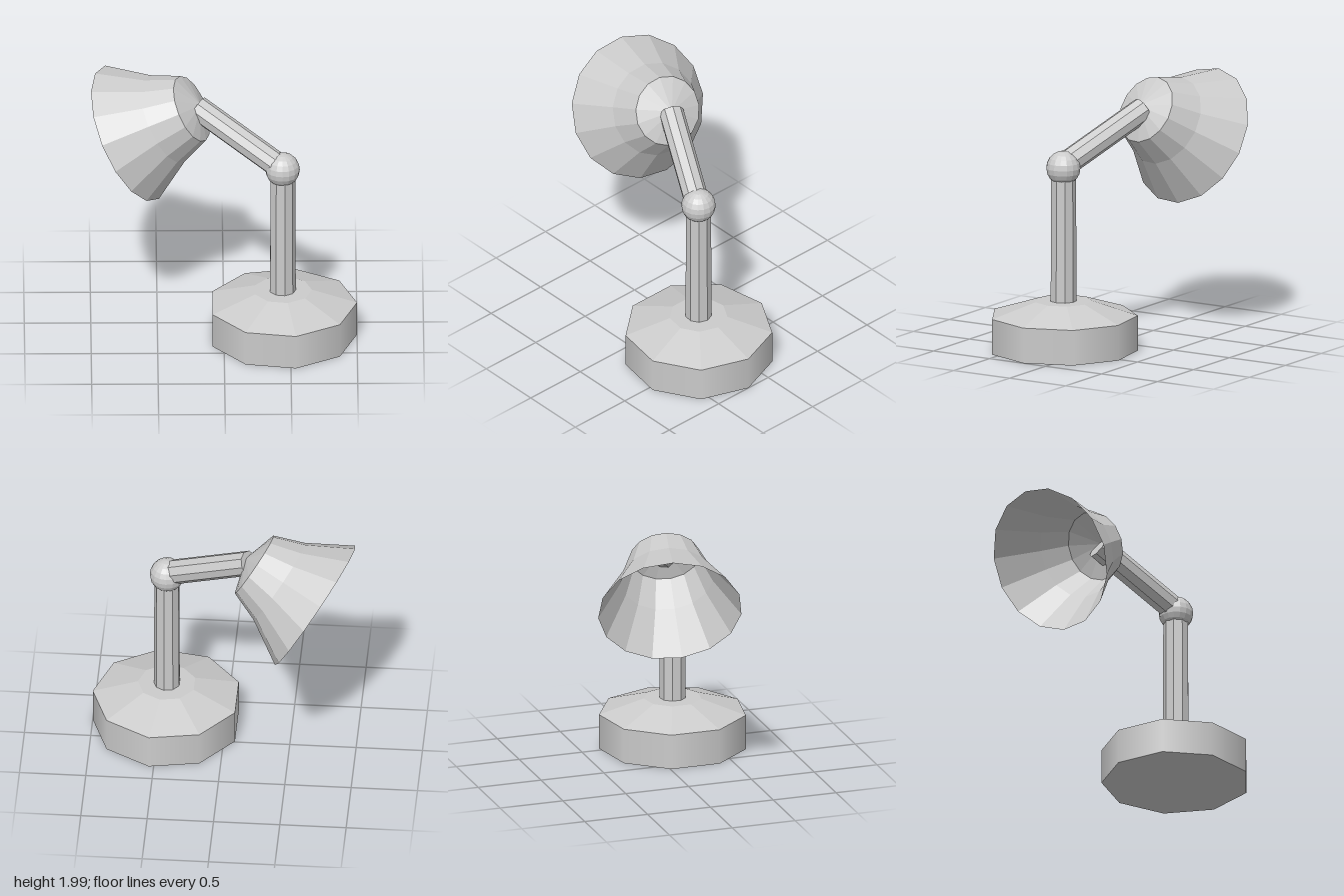
import * as THREE from 'three';

const flat = new THREE.MeshStandardMaterial({ color: 0xcccccc, flatShading: true });
const smooth = new THREE.MeshStandardMaterial({ color: 0xcccccc });
const thin = new THREE.MeshStandardMaterial({ color: 0xcccccc, flatShading: true, side: THREE.DoubleSide });

const CX = 0.44, CZ = 0.2; // axis of base and post
const SIDES = 9;

// Turn an object so its y axis follows `axis` and its z axis leans upward
function aim(object, axis) {
  const y = axis.clone().normalize();
  const z = new THREE.Vector3(0, 1, 0).addScaledVector(y, -y.y).normalize();
  const x = new THREE.Vector3().crossVectors(y, z);
  object.quaternion.setFromRotationMatrix(new THREE.Matrix4().makeBasis(x, y, z));
}

export function createModel() {
  const lamp = new THREE.Group();
  lamp.name = 'deskLamp';

  const add = (name, geometry, material, x, y, z, parent = lamp) => {
    const mesh = new THREE.Mesh(geometry, material);
    mesh.name = name;
    mesh.position.set(x, y, z);
    parent.add(mesh);
    return mesh;
  };
  // Nine-sided column with a corner toward +x
  const column = (top, bottom, height, open = false) =>
    new THREE.CylinderGeometry(top, bottom, height, SIDES, 1, open, Math.PI / 2);

  // Base: smooth wall, faceted sloping top, flat underside
  const base = new THREE.Group();
  base.name = 'base';
  lamp.add(base);
  add('baseWall', column(0.56, 0.56, 0.27, true), smooth, CX, 0.135, CZ, base);
  add('baseTop', column(0.22, 0.56, 0.11), flat, CX, 0.325, CZ, base);
  const underside = add('baseUnderside', new THREE.CircleGeometry(0.56, SIDES), flat, CX, 0, CZ, base);
  underside.rotation.x = Math.PI / 2;

  // Upright post and ball joint
  add('post', column(0.095, 0.1, 1.05), flat, CX, 0.875, CZ);
  add('ballJoint', new THREE.SphereGeometry(0.13, 16, 10), flat, CX, 1.4, CZ);

  // Slanted arm from the joint into the shade
  const start = new THREE.Vector3(CX, 1.41, CZ + 0.01);
  const end = new THREE.Vector3(-0.2, 1.77, -0.1);
  const span = end.clone().sub(start);
  const middle = start.clone().add(end).multiplyScalar(0.5);
  const arm = add('arm', new THREE.CylinderGeometry(0.095, 0.095, span.length(), SIDES),
    flat, middle.x, middle.y, middle.z);
  aim(arm, span);

  // Open flared shade with a shallow pointed cap, rim centre at its origin
  const profile = [[0.543, 0], [0.35, 0.325], [0.262, 0.555], [0, 0.635]]
    .map(([r, h]) => new THREE.Vector2(r, h));
  const shade = add('shade', new THREE.LatheGeometry(profile, 15), thin, -0.71, 1.49, -0.22);
  aim(shade, new THREE.Vector3(0.47, 0.27, 0.12));

  return lamp;
}
